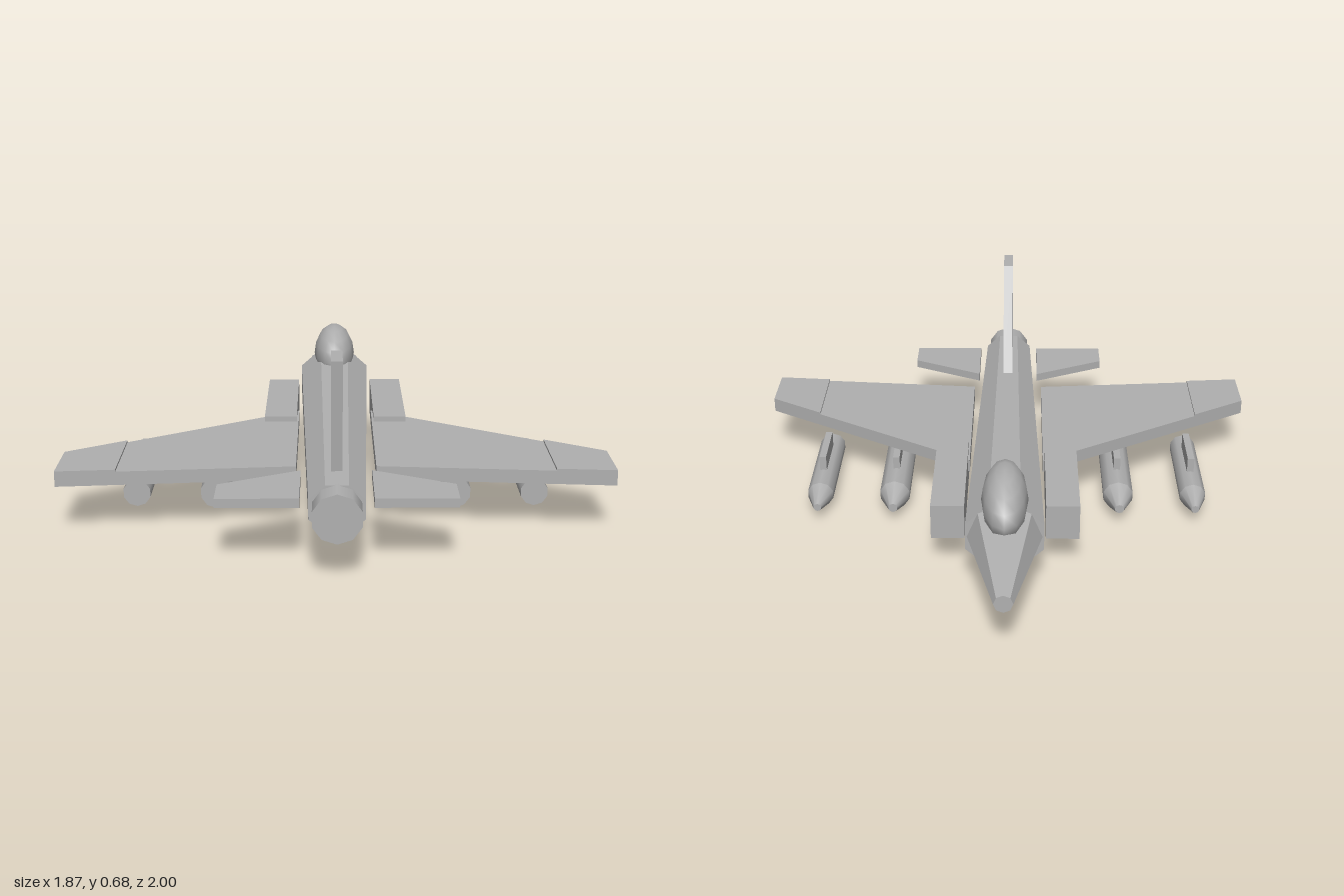
import * as THREE from 'three';
import { toCreasedNormals } from 'three/addons/utils/BufferGeometryUtils.js';

export function createModel() {
  const model = new THREE.Group();
  model.name = 'fighterJet';
  const grey = new THREE.MeshStandardMaterial({ color: 0xb0b0b0 });
  grey.name = 'light grey';
  const AXIS = 0.214; // height of the fuselage axis

  function add(name, geometry, x = 0, y = 0, z = 0, parent = model) {
    const mesh = new THREE.Mesh(geometry, grey);
    mesh.name = name;
    mesh.position.set(x, y, z);
    parent.add(mesh);
    return mesh;
  }

  // Tapered tube lying along z, from the nose end z0 back to z1
  function tube(r0, r1, z0, z1, sides, turn = 0) {
    return new THREE.CylinderGeometry(r0, r1, z1 - z0, sides)
      .rotateY(turn)
      .rotateX(-Math.PI / 2)
      .translate(0, 0, (z0 + z1) / 2);
  }

  // Flat plate with an outline of [x, z] points, between two heights
  function plate(points, side, y0, y1) {
    const shape = new THREE.Shape(points.map(([x, z]) => new THREE.Vector2(x * side, -z)));
    return new THREE.ExtrudeGeometry(shape, { depth: y1 - y0, bevelEnabled: false })
      .rotateX(-Math.PI / 2)
      .translate(0, y0, 0);
  }

  // Octagonal fuselage, slightly wider than tall, and faceted nose
  const body = tube(0.128, 0.086, -0.6, 0.915, 8, Math.PI / 8).scale(1.13, 1, 1);
  add('fuselage', toCreasedNormals(body, 0.5), 0, AXIS);
  add('nose', toCreasedNormals(tube(0.032, 0.128, -1, -0.6, 8), 0.5), 0, AXIS);
  add('exhaustNozzle', tube(0.082, 0.082, 0.9, 1, 10), 0, AXIS);

  // Canopy
  add('canopy', new THREE.SphereGeometry(1, 12, 8).rotateY(Math.PI / 2).scale(0.08, 0.11, 0.2), 0, 0.333, -0.553);

  // Tail fin
  const finShape = new THREE.Shape(
    [[0.503, 0.31], [0.829, 0.31], [0.866, 0.679], [0.738, 0.679]].map(([z, y]) => new THREE.Vector2(z, y)));
  const fin = new THREE.ExtrudeGeometry(finShape, { depth: 0.036, bevelEnabled: false })
    .translate(0, 0, -0.018)
    .rotateY(-Math.PI / 2);
  add('tailFin', fin);

  // Wing edges as straight lines across the span
  const ROOT = 0.135, TIP = 0.935, JOINT = 0.735;
  const lead = (x) => THREE.MathUtils.mapLinear(x, ROOT, TIP, -0.085, 0.412);
  const trail = (x) => THREE.MathUtils.mapLinear(x, ROOT, TIP, 0.547, 0.613);
  const panel = (a, b) => [[a, lead(a)], [b, lead(b)], [b, trail(b)], [a, trail(a)]];

  for (const [side, label] of [[1, 'left'], [-1, 'right']]) {
    // Main wing with a slightly thicker tip panel
    add(label + 'Wing', plate(panel(ROOT, JOINT), side, 0.18, 0.227));
    add(label + 'WingTip', plate(panel(JOINT, TIP), side, 0.18, 0.234));
    add(label + 'Tailplane',
      plate([[0.118, 0.634], [0.385, 0.767], [0.385, 0.897], [0.118, 0.897]], side, 0.213, 0.244));

    // Air intake box
    add(label + 'Intake', new THREE.BoxGeometry(0.118, 0.13, 0.502), side * 0.201, 0.181, -0.2);

    // Stores hung under the wing
    for (const [place, x, r] of [['Inner', 0.42, 0.057], ['Outer', 0.7, 0.049]]) {
      const store = new THREE.Group();
      store.name = label + place + 'Store';
      store.position.set(side * x, 0.06, 0);
      model.add(store);
      add('storeBody', tube(r, r, -0.05, 0.352, 10), 0, 0, 0, store);
      add('storeTip', tube(r * 0.3, r, -0.15, -0.05, 10), 0, 0, 0, store);
      add('pylon', new THREE.BoxGeometry(0.025, 0.063, 0.207), 0, 0.071, 0.158, store);
    }
  }
  return model;
}
